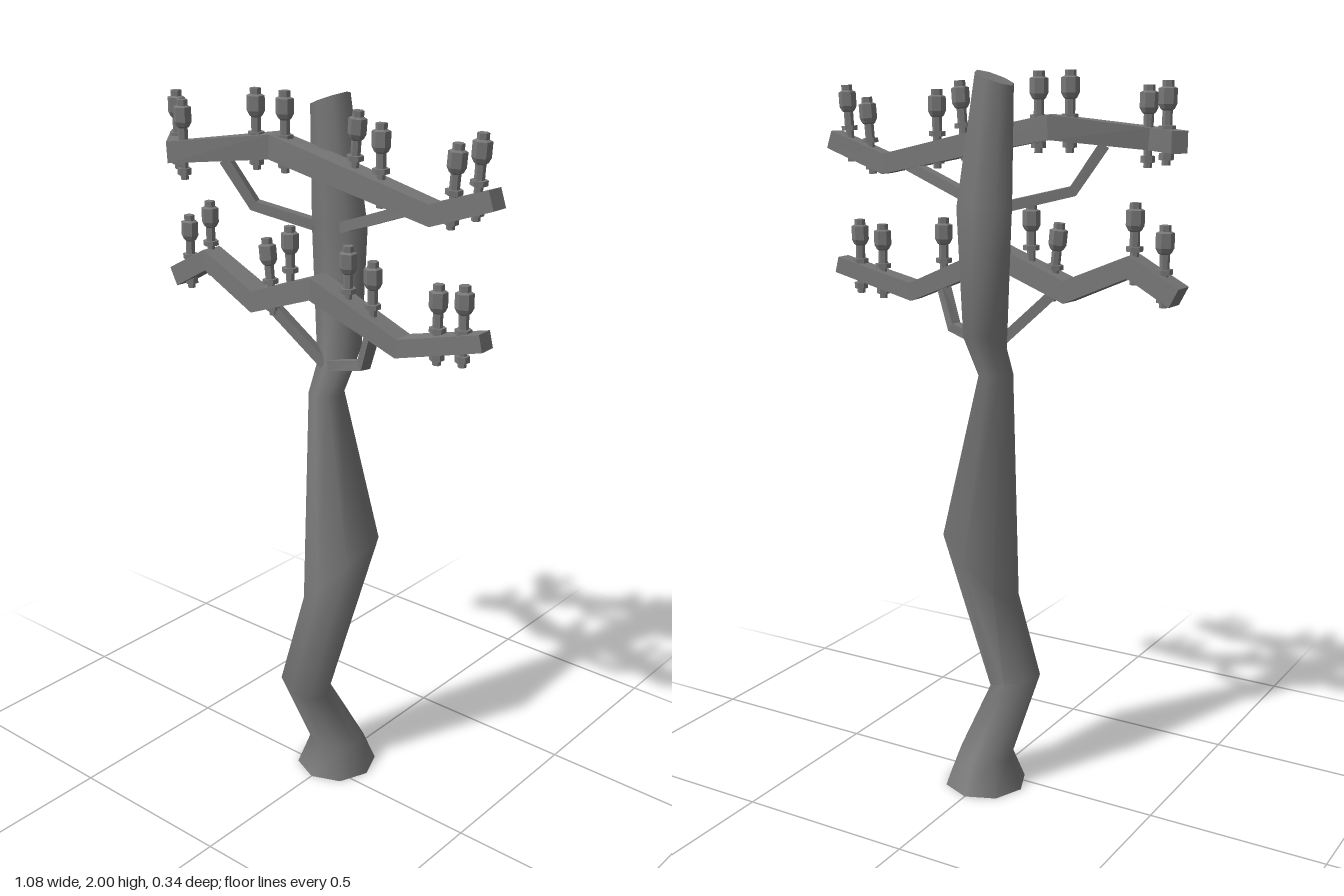
import * as THREE from 'three';
import { toCreasedNormals } from 'three/addons/utils/BufferGeometryUtils.js';

const V = (p) => new THREE.Vector3(p[0], p[1], p[2]);

export function createModel() {
  const model = new THREE.Group();
  const color = 0x777777;
  const smooth = new THREE.MeshStandardMaterial({ color, side: THREE.DoubleSide });
  const flat = new THREE.MeshStandardMaterial({ color, flatShading: true });

  function add(name, geometry, material, parent = model) {
    const mesh = new THREE.Mesh(geometry, material);
    mesh.name = name;
    parent.add(mesh);
    return mesh;
  }

  // Rectangular bar swept along a bent path; each point is [x, y, z, depth, height]
  function bar(path) {
    const n = path.length - 1;
    const frames = path.map((p, i) => {
      const a = V(path[Math.max(i - 1, 0)]), b = V(p), c = V(path[Math.min(i + 1, n)]);
      const t1 = b.clone().sub(a).normalize(), t2 = c.clone().sub(b).normalize();
      const t = t1.clone().add(t2).normalize();
      const side = t.clone().cross(new THREE.Vector3(0, 1, 0)).normalize();
      const up = side.clone().cross(t);
      return { b, side, up, d: p[3], h: p[4] };
    });
    const geo = new THREE.BoxGeometry(1, 1, 1, n, 1, 1);
    const pos = geo.attributes.position;
    for (let k = 0; k < pos.count; k++) {
      const f = frames[Math.round((pos.getX(k) + 0.5) * n)];
      const v = f.b.clone()
        .addScaledVector(f.up, pos.getY(k) * f.h)
        .addScaledVector(f.side, pos.getZ(k) * f.d);
      pos.setXYZ(k, v.x, v.y, v.z);
    }
    return geo;
  }

  // Trunk: crooked eight-sided pole; ring = [y, x, z, radiusX, radiusZ, slopeX, slopeZ]
  const rings = [
    [0, 0, -0.052, 0.117, 0.118, 0, 0],
    [0.09, 0, -0.052, 0.082, 0.079, 0, 0],
    [0.295, -0.052, 0.028, 0.078, 0.067, -0.32, -0.12],
    [0.66, 0.012, -0.054, 0.113, 0.101, 0.94, -0.28],
    [1.2, -0.018, -0.025, 0.048, 0.05, 0, 0],
    [1.295, -0.014, -0.075, 0.057, 0.065, 0, -0.4],
    [1.65, -0.004, -0.062, 0.084, 0.06, 0, 0],
    [1.98, -0.031, -0.055, 0.052, 0.051, 0.38, 0],
  ];
  const rows = rings.length - 1;
  const trunk = new THREE.CylinderGeometry(1, 1, 1, 8, rows);
  const tp = trunk.attributes.position;
  for (let k = 0; k < tp.count; k++) {
    const [y, cx, cz, rx, rz, sx, sz] = rings[Math.round((tp.getY(k) + 0.5) * rows)];
    const dx = tp.getX(k) * rx, dz = tp.getZ(k) * rz;
    tp.setXYZ(k, cx + dx, y + dx * sx + dz * sz, cz + dz);
  }
  // Leave the foot open by dropping the bottom cap
  trunk.setIndex([...trunk.index.array.slice(0, trunk.groups[2].start)]);
  trunk.clearGroups();
  add('trunk', toCreasedNormals(trunk, 1.15), smooth);

  // Insulator: six-sided pin with a nut under the arm, a collar on it and a cap
  const insulatorGeo = new THREE.LatheGeometry([
    [0, -0.085], [0.011, -0.085], [0.011, -0.072], [0.019, -0.072], [0.019, -0.055],
    [0.011, -0.055], [0.011, 0], [0.022, 0], [0.022, 0.013], [0.013, 0.013],
    [0.013, 0.05], [0.018, 0.054], [0.024, 0.066], [0.024, 0.104],
    [0.015, 0.108], [0.015, 0.123], [0, 0.123],
  ].map(([x, y]) => new THREE.Vector2(x, y)), 6);

  // Point on an arm's centre line at a given x
  function pointAt(path, x) {
    let i = 0;
    while (i < path.length - 2 && x > path[i + 1][0]) i++;
    const a = V(path[i]), b = V(path[i + 1]);
    return a.clone().lerp(b, (x - a.x) / (b.x - a.x));
  }

  // Each insulator is [x, height of its top, lean]
  const arms = [
    {
      name: 'upper',
      path: [
        [-0.523, 1.827, 0.002, 0.042, 0.055], [-0.4, 1.828, 0.135, 0.062, 0.056],
        [-0.155, 1.857, 0.02, 0.066, 0.064], [0.03, 1.82, 0.018, 0.064, 0.06],
        [0.35, 1.75, 0.008, 0.05, 0.055], [0.53, 1.812, 0.012, 0.05, 0.05],
      ],
      insulators: [
        [-0.457, 1.974, 0], [-0.382, 1.963, 0], [-0.2, 2, 0], [-0.12, 1.998, 0],
        [0.108, 1.973, -0.08], [0.188, 1.95, 0], [0.405, 1.928, -0.08], [0.476, 1.96, -0.06],
      ],
      braces: [
        [[-0.285, 1.812, 0.07], [-0.215, 1.695, 0.035], [-0.06, 1.655, -0.03]],
        [[0.03, 1.66, -0.03], [0.29, 1.755, 0.01]],
      ],
    },
    {
      name: 'lower',
      path: [
        [-0.53, 1.445, 0.01, 0.06, 0.055], [-0.4, 1.515, 0.015, 0.06, 0.058],
        [-0.21, 1.435, 0.03, 0.065, 0.06], [0.01, 1.515, 0.045, 0.068, 0.06],
        [0.27, 1.402, 0.02, 0.062, 0.05], [0.515, 1.463, 0.01, 0.05, 0.045],
      ],
      insulators: [
        [-0.488, 1.623, 0], [-0.403, 1.675, 0], [-0.165, 1.612, 0.1], [-0.09, 1.658, 0],
        [0.105, 1.637, 0], [0.18, 1.608, 0], [0.375, 1.582, 0], [0.45, 1.592, 0],
      ],
      braces: [
        [[-0.18, 1.44, 0.03], [-0.02, 1.28, -0.025]],
        [[0, 1.28, -0.025], [0.13, 1.315, 0], [0.185, 1.43, 0.03]],
      ],
    },
  ];

  for (const { name, path, insulators, braces } of arms) {
    const group = new THREE.Group();
    group.name = name + 'Crossarm';
    model.add(group);
    add(name + 'Arm', bar(path), flat, group);
    for (const brace of braces) {
      add(name + 'Brace', bar(brace.map((p) => [...p, 0.03, 0.028])), flat, group);
    }
    for (const [x, top, lean] of insulators) {
      const insulator = add(name + 'Insulator', insulatorGeo, flat, group);
      insulator.position.set(x, top - 0.123, pointAt(path, x).z);
      insulator.rotation.z = lean;
    }
  }
  return model;
}
